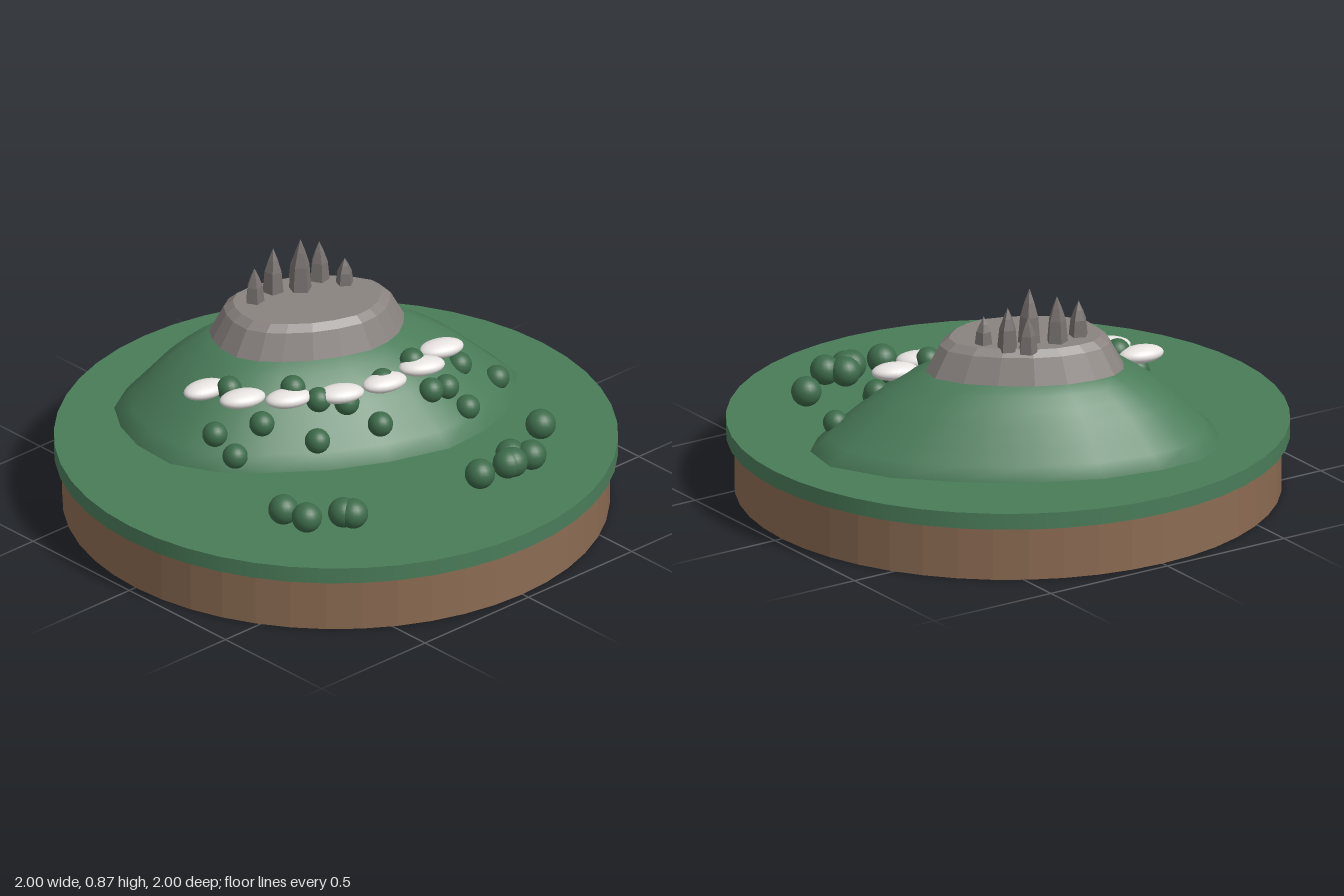
import * as THREE from 'three';

const mat = (name, color, flatShading = false) => {
  const m = new THREE.MeshStandardMaterial({ color, flatShading });
  m.name = name;
  return m;
};

// Hill footprint (x, z), clockwise seen from above
const OUTLINE = [
  [-0.14, -0.76], [0.08, -0.72], [0.30, -0.62], [0.52, -0.46], [0.70, -0.28],
  [0.81, -0.07], [0.78, 0.10], [0.68, 0.20], [0.55, 0.29], [0.40, 0.34],
  [0.22, 0.35], [0.0, 0.28], [-0.2, 0.18], [-0.38, 0.04], [-0.50, -0.08],
  [-0.58, -0.24], [-0.57, -0.42], [-0.52, -0.56], [-0.44, -0.68], [-0.31, -0.755],
];
const CX = 0.11, CZ = -0.205;

// Stacks scaled copies of the footprint: rings are [height, scale]
function loft(rings) {
  const n = OUTLINE.length, pos = [], idx = [];
  for (const [y, s] of rings) {
    const shift = Math.min(1, (1 - s) / 0.515); // the hill leans slightly back
    for (const [x, z] of OUTLINE)
      pos.push(CX - 0.01 * shift + (x - CX) * s, y, CZ - 0.045 * shift + (z - CZ) * s);
  }
  for (let r = 0; r < rings.length - 1; r++)
    for (let j = 0; j < n; j++) {
      const k = (j + 1) % n, a = r * n + j, b = r * n + k;
      idx.push(a, a + n, b, b, a + n, b + n);
    }
  // Top cap
  const c = pos.length / 3, last = (rings.length - 1) * n;
  pos.push(CX - 0.01, rings[rings.length - 1][0], CZ - 0.045);
  for (let j = 0; j < n; j++) idx.push(c, last + (j + 1) % n, last + j);
  const g = new THREE.BufferGeometry();
  g.setAttribute('position', new THREE.Float32BufferAttribute(pos, 3));
  g.setIndex(idx);
  g.computeVertexNormals();
  return g;
}

export function createModel() {
  const model = new THREE.Group();
  model.name = 'hillIsland';
  const grass = mat('grass', 0x4a7c59);
  const soil = mat('soil', 0x8b6b52, true);
  const stone = mat('stone', 0x8a8380, true);
  const spire = mat('spireStone', 0x787270, true);
  const leaf = mat('leaf', 0x3d6b4a);
  const cloudWhite = mat('cloudWhite', 0xe8e4e2);

  const add = (name, geo, material, x = 0, y = 0, z = 0, parent = model) => {
    const m = new THREE.Mesh(geo, material);
    m.name = name;
    m.position.set(x, y, z);
    parent.add(m);
    return m;
  };
  const group = (name) => {
    const g = new THREE.Group();
    g.name = name;
    model.add(g);
    return g;
  };

  // Round base
  add('soilBase', new THREE.CylinderGeometry(0.97, 0.97, 0.2, 48), soil, 0, 0.1, 0);
  add('grassDisc', new THREE.CylinderGeometry(1, 1, 0.06, 48), grass, 0, 0.23, 0);

  // Hill with a buried skirt, and the rocky summit
  add('hill', loft([[0.21, 1], [0.26, 1], [0.31, 0.925], [0.36, 0.85], [0.43, 0.745],
    [0.48, 0.65], [0.52, 0.56], [0.55, 0.48], [0.58, 0.36]]), grass);
  add('summitRock', loft([[0.55, 0.485], [0.645, 0.415], [0.67, 0.37]]), stone);

  // Stone spires: [x, z, tip height]
  const spires = group('spires');
  for (const [x, z, top] of [[-0.05, -0.37, 0.80], [0.05, -0.38, 0.84], [0.13, -0.325, 0.87],
    [0.185, -0.395, 0.79], [0.23, -0.335, 0.82], [0.275, -0.25, 0.77]]) {
    const h = top - 0.66, r = 0.024 + h * 0.09;
    const profile = [[r, 0], [r * 0.8, h * 0.5], [r * 0.45, h * 0.75], [0, h]]
      .map(([a, b]) => new THREE.Vector2(a, b));
    add('spire', new THREE.LatheGeometry(profile, 5), spire, x, 0.66, z, spires).rotation.y = x * 9;
  }

  // Cloud ring: [x, z, yaw in degrees]
  const clouds = group('clouds');
  const cloudGeo = new THREE.SphereGeometry(1, 24, 16).scale(0.085, 0.031, 0.052);
  for (const [x, z, yaw] of [[-0.40, -0.25, 10], [-0.35, -0.11, 22], [-0.23, 0.0, 25],
    [-0.07, 0.10, 28], [0.10, 0.145, 15], [0.28, 0.145, 25], [0.42, 0.095, 18]])
    add('cloud', cloudGeo, cloudWhite, x, 0.49, z, clouds).rotation.y = -yaw * Math.PI / 180;

  // Bushes on the hillside: [x, y, z]
  const bushes = group('bushes');
  const smallBush = new THREE.SphereGeometry(0.045, 20, 14);
  for (const p of [[-0.34, 0.495, -0.19], [-0.465, 0.38, -0.13], [-0.46, 0.33, -0.03],
    [-0.34, 0.42, -0.02], [-0.22, 0.37, 0.14], [-0.19, 0.51, -0.02], [-0.14, 0.475, 0.06],
    [-0.05, 0.45, 0.11], [0.01, 0.385, 0.22], [0.11, 0.485, 0.125], [0.27, 0.50, 0.105],
    [0.27, 0.42, 0.205], [0.34, 0.41, 0.21], [0.385, 0.335, 0.27], [0.48, 0.415, 0.125],
    [0.63, 0.32, 0.16]])
    add('hillBush', smallBush, leaf, ...p, bushes);

  // Bushes on the flat grass: [x, z]
  const bigBush = new THREE.SphereGeometry(0.054, 20, 14);
  for (const [x, z] of [[-0.58, 0.35], [-0.56, 0.45], [-0.44, 0.51], [-0.42, 0.54], [0.11, 0.63],
    [0.235, 0.64], [0.255, 0.645], [0.29, 0.595], [0.34, 0.65], [0.52, 0.505]])
    add('meadowBush', bigBush, leaf, x, 0.31, z, bushes);

  return model;
}
